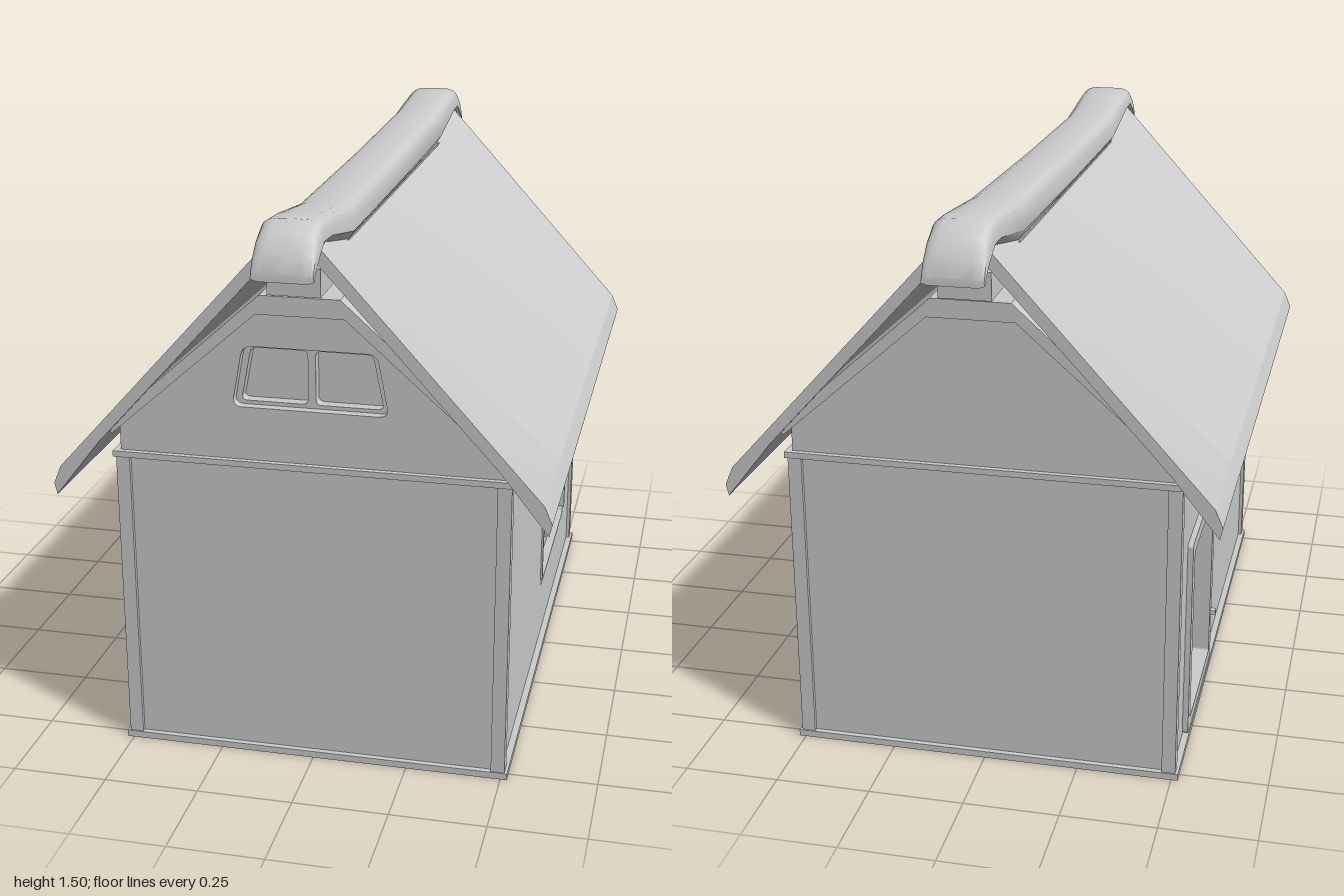
import * as THREE from 'three';
import { toCreasedNormals } from 'three/addons/utils/BufferGeometryUtils.js';

const grey = new THREE.MeshStandardMaterial({ color: 0xcccccc });

function add(parent, name, geo, x = 0, y = 0, z = 0) {
  const m = new THREE.Mesh(geo, grey);
  m.name = name;
  m.position.set(x, y, z);
  parent.add(m);
  return m;
}
const box = (parent, name, w, h, d, x, y, z) => add(parent, name, new THREE.BoxGeometry(w, h, d), x, y, z);

function polygon(points, Type = THREE.Shape) {
  return new Type(points.map(([x, y]) => new THREE.Vector2(x, y)));
}

// Outline with softened corners
function softPolygon(pts, r, Type = THREE.Shape) {
  const s = new Type(), v = pts.map(p => new THREE.Vector2(...p)), n = v.length;
  v.forEach((p, i) => {
    const toward = q => p.clone().add(q.clone().sub(p).setLength(r));
    const a = toward(v[(i + n - 1) % n]), b = toward(v[(i + 1) % n]);
    if (i) s.lineTo(a.x, a.y); else s.moveTo(a.x, a.y);
    s.quadraticCurveTo(p.x, p.y, b.x, b.y);
  });
  s.closePath();
  return s;
}
const rect = (x0, x1, y0, y1) => [[x0, y0], [x1, y0], [x1, y1], [x0, y1]];
const extrude = (shape, depth) => new THREE.ExtrudeGeometry(shape, { depth, bevelEnabled: false, curveSegments: 5 });

// Outline ring: outer shape with an inset opening
function ring(outer, inner, r, depth) {
  const s = softPolygon(outer, r);
  s.holes.push(softPolygon(inner, r * 0.7, THREE.Path));
  return extrude(s, depth);
}

// Solid skin through counter-clockwise sections ordered from back to front
function loft(sections, crease) {
  const pos = [], n = sections[0].pts.length;
  const put = (s, j) => pos.push(s.pts[j][0], s.pts[j][1], s.pts[j][2] ?? s.z);
  for (let i = 0; i < sections.length - 1; i++) {
    const s = sections[i], t = sections[i + 1];
    for (let j = 0; j < n; j++) {
      const k = (j + 1) % n;
      put(s, j); put(s, k); put(t, k);
      put(s, j); put(t, k); put(t, j);
    }
  }
  for (const [s, flip] of [[sections[0], true], [sections.at(-1), false]]) {
    const tris = THREE.ShapeUtils.triangulateShape(s.pts.map(p => new THREE.Vector2(p[0], p[1])), []);
    for (const [a, b, c] of tris) for (const j of flip ? [a, c, b] : [a, b, c]) put(s, j);
  }
  const g = new THREE.BufferGeometry();
  g.setAttribute('position', new THREE.Float32BufferAttribute(pos, 3));
  return toCreasedNormals(g, crease);
}

// Two-by-two pane window set inside a wall opening
function paneWindow(parent, name, x0, x1, y0, y1) {
  const g = new THREE.Group();
  g.name = name;
  parent.add(g);
  const cx = (x0 + x1) / 2, cy = (y0 + y1) / 2, w = x1 - x0, h = y1 - y0;
  add(g, 'windowFrame', ring(rect(x0, x1, y0, y1), rect(x0 + 0.03, x1 - 0.03, y0 + 0.02, y1 - 0.02), 0.025, 0.035));
  box(g, 'verticalMuntin', 0.04, h - 0.03, 0.035, cx, cy, 0.018);
  box(g, 'horizontalMuntin', w - 0.04, 0.02, 0.03, cx, cy, 0.016);
  for (const x of [x0 + 0.004, x1 - 0.004]) box(g, 'windowJamb', 0.012, h - 0.05, 0.067, x, cy, 0.032);
}

export function createModel() {
  const house = new THREE.Group();
  house.name = 'house';
  const T = 0.06;

  // Solid core, whose faces show as the recessed panes
  const core = polygon([[-0.44, 0.01], [0.44, 0.01], [0.44, 0.95], [0.11, 1.25], [-0.11, 1.25], [-0.44, 0.95]]);
  add(house, 'core', extrude(core, 1.42), 0, 0, -0.71);

  // Gable walls, the front one with an attic window
  const gablePts = [[-0.495, 0.01], [0.495, 0.01], [0.495, 0.92], [0.11, 1.26], [-0.11, 1.26], [-0.495, 0.92]];
  const attic = [[-0.2, 0.97], [0.2, 0.97], [0.17, 1.13], [-0.17, 1.13]];
  const frontShape = polygon(gablePts);
  frontShape.holes.push(softPolygon(attic, 0.025, THREE.Path));
  add(house, 'frontWall', extrude(frontShape, T), 0, 0, 0.705);
  add(house, 'backWall', extrude(polygon(gablePts), T), 0, 0, -0.765);
  const atticFrame = softPolygon(attic, 0.025);
  for (const s of [-1, 1]) {
    const pane = [[0.01 * s, 0.98], [0.182 * s, 0.98], [0.155 * s, 1.12], [0.01 * s, 1.12]];
    atticFrame.holes.push(softPolygon(pane, 0.015, THREE.Path));
  }
  add(house, 'atticWindowFrame', extrude(atticFrame, 0.03), 0, 0, 0.71);

  // Side walls, drawn flat and turned outward
  function sideWall(name, sx, holes) {
    const g = new THREE.Group();
    g.name = name;
    g.position.x = sx * 0.44;
    g.rotation.y = sx * Math.PI / 2;
    const s = polygon(rect(-0.765, 0.765, 0.01, 0.92));
    for (const h of holes) s.holes.push(softPolygon(h, 0.03, THREE.Path));
    add(g, name + 'Panel', extrude(s, T));
    house.add(g);
    return g;
  }
  const left = sideWall('leftWall', 1, [rect(0, 0.575, 0.18, 0.58)]);
  paneWindow(left, 'leftWindow', 0, 0.575, 0.18, 0.58);
  const right = sideWall('rightWall', -1, [rect(0.16, 0.58, 0.3, 0.58), rect(-0.57, -0.13, 0.03, 0.57)]);
  paneWindow(right, 'rightWindow', 0.16, 0.58, 0.3, 0.58);

  // Door with a proud surround, recessed leaf and handle
  add(right, 'doorFrame', ring(rect(-0.58, -0.12, 0.02, 0.58), rect(-0.54, -0.16, 0.05, 0.545), 0.012, 0.075));
  box(right, 'doorLeaf', 0.39, 0.5, 0.012, -0.35, 0.295, 0.006);
  box(right, 'doorHandle', 0.02, 0.012, 0.02, -0.14, 0.17, 0.08);

  // Base slab, wall plates and corner posts
  box(house, 'baseSlab', 1.035, 0.018, 1.56, 0, 0.009, 0);
  for (const s of [-1, 1]) {
    box(house, 'gableWallPlate', 1.035, 0.016, 0.03, 0, 0.822, s * 0.765);
    box(house, 'sideWallPlate', 0.03, 0.016, 1.56, s * 0.5025, 0.822, 0);
    for (const t of [-1, 1]) box(house, 'cornerPost', 0.036, 0.8, 0.036, s * 0.492, 0.415, t * 0.758);
  }

  // Lining under the roof, showing as a trim along each gable
  const lining = polygon([
    [0.5, 0.93], [0.1, 1.288], [-0.1, 1.288], [-0.5, 0.93],
    [-0.49, 0.905], [-0.11, 1.24], [0.11, 1.24], [0.49, 0.905]]);
  add(house, 'roofLining', extrude(lining, 1.7), 0, 0, -0.85);
  box(house, 'ridgeBeam', 0.13, 0.07, 1.8, 0, 1.34, 0);

  // Roof slopes that lift at both gable ends, with a turned-down eave
  const ridgeLine = [[-0.91, 1.45], [-0.6, 1.39], [0.6, 1.39], [0.91, 1.45]];
  for (const s of [-1, 1]) {
    const sections = ridgeLine.map(([z, r]) => {
      const pts = [[0.618, 0.755], [0.625, 0.785], [0.605, 0.832], [0.045, r], [0.045, r - 0.045], [0.5, 0.905]]
        .map(([x, y]) => [s * x, y]);
      return { z, pts: s > 0 ? pts : pts.reverse() };
    });
    add(house, s > 0 ? 'leftRoofSlope' : 'rightRoofSlope', loft(sections, 0.35));
  }

  // Rounded ridge cap, curling down past the gables: z, underside, top
  const capLine = [
    [-1.0, 1.365, 1.385], [-0.985, 1.375, 1.43], [-0.95, 1.395, 1.475], [-0.9, 1.425, 1.5], [-0.84, 1.425, 1.5],
    [-0.6, 1.375, 1.482], [0, 1.37, 1.468], [0.6, 1.37, 1.462],
    [0.82, 1.42, 1.487], [0.9, 1.425, 1.492], [0.95, 1.395, 1.47], [0.985, 1.375, 1.43], [1.0, 1.365, 1.385]];
  const capSections = capLine.map(([z, b, t]) => {
    const pts = [[-0.06, b], [0.06, b]];
    for (let i = 0; i <= 10; i++) {
      const a = Math.PI * i / 10, c = Math.cos(a);
      pts.push([0.076 * Math.sign(c) * Math.sqrt(Math.abs(c)), b + (t - b) * (0.25 + 0.75 * Math.sqrt(Math.sin(a)))]);
    }
    return { z, pts };
  });
  add(house, 'ridgeCap', loft(capSections, 0.6));

  return house;
}
